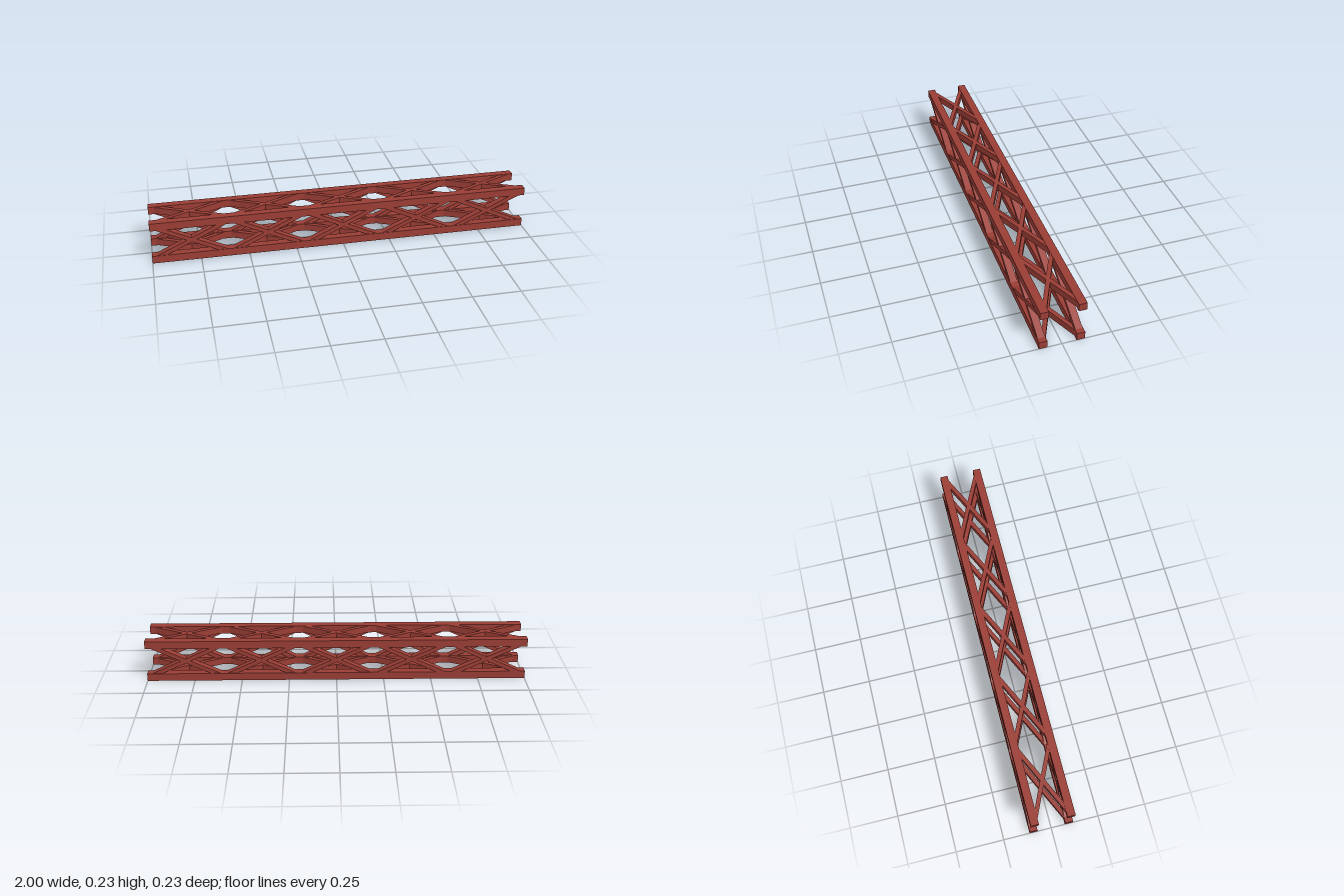
import * as THREE from 'three';

const LENGTH = 2;
const CHORD = 0.041;          // side of the square corner beams
const HEIGHT = 0.228;
const OFFSET = (HEIGHT - CHORD) / 2; // axis to chord centre
const BAYS = 5;
const BAY = 1.98 / BAYS;
const BRACE_THICK = 0.022;
const BRACE_DEPTH = 0.036;

export function createModel() {
  const model = new THREE.Group();
  model.name = 'boxTruss';
  const material = new THREE.MeshStandardMaterial({ color: 0x9a3d35, flatShading: true });

  // Four corner beams running the full length
  const chordGeometry = new THREE.BoxGeometry(LENGTH, CHORD, CHORD);
  for (const y of [-1, 1]) {
    for (const z of [-1, 1]) {
      const chord = new THREE.Mesh(chordGeometry, material);
      chord.name = `${y > 0 ? 'upper' : 'lower'}${z > 0 ? 'Front' : 'Back'}Chord`;
      chord.position.set(0, y * OFFSET, z * OFFSET);
      model.add(chord);
    }
  }

  // Crossed diagonals in every bay of each of the four sides
  const rise = 2 * OFFSET;
  const braceGeometry = new THREE.BoxGeometry(Math.hypot(BAY, rise), BRACE_THICK, BRACE_DEPTH);
  const angle = Math.atan2(rise, BAY);
  ['front', 'bottom', 'back', 'top'].forEach((name, side) => {
    const panel = new THREE.Group();
    panel.name = `${name}Bracing`;
    for (let i = 0; i < BAYS; i++) {
      for (const dir of [-1, 1]) {
        const brace = new THREE.Mesh(braceGeometry, material);
        brace.name = 'diagonalBrace';
        brace.position.set((i - (BAYS - 1) / 2) * BAY, 0, OFFSET);
        brace.rotation.z = dir * angle;
        panel.add(brace);
      }
    }
    panel.rotation.x = side * Math.PI / 2;
    model.add(panel);
  });

  // Rest the truss on the ground
  model.position.y = HEIGHT / 2;
  const root = new THREE.Group();
  root.name = 'truss';
  root.add(model);
  return root;
}
